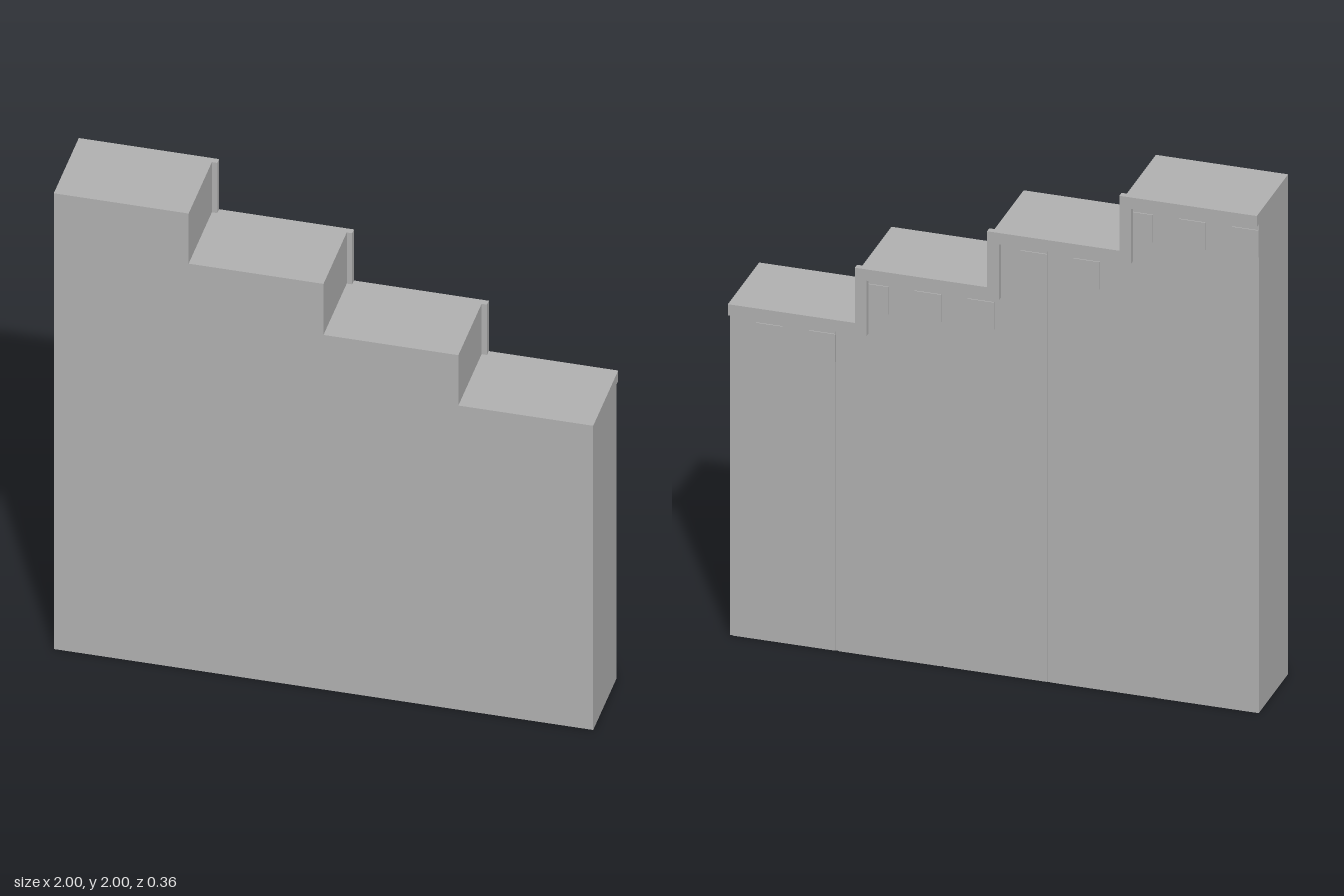
import * as THREE from 'three';

const TOPS = [2, 1.78, 1.556, 1.335]; // wall height of each half-unit bay, from x = -1

// Points along the stepped top between xa and xb, with the risers shifted by dx and the treads by dy
function steppedLine(xa, xb, dx = 0, dy = 0) {
  const points = [];
  TOPS.forEach((top, i) => {
    const start = i === 0 ? -1 : -1 + i * 0.5 + dx;
    const end = i === 3 ? 1 : -0.5 + i * 0.5 + dx;
    const a = Math.max(xa, start), b = Math.min(xb, end);
    if (b > a) points.push(new THREE.Vector2(a, top + dy), new THREE.Vector2(b, top + dy));
  });
  return points;
}

// Extrude a closed outline between two z planes
function slab(points, zBack, zFront) {
  const geometry = new THREE.ExtrudeGeometry(new THREE.Shape(points), {
    depth: zFront - zBack, bevelEnabled: false,
  });
  return geometry.translate(0, 0, zBack);
}

export function createModel() {
  const group = new THREE.Group();
  const grey = new THREE.MeshStandardMaterial({ color: 0xb2b2b2 });
  grey.name = 'wallGrey';

  const add = (name, geometry) => {
    const mesh = new THREE.Mesh(geometry, grey);
    mesh.name = name;
    group.add(mesh);
  };

  const BACK = -0.153, PANEL = -0.156, BLOCK = -0.16;
  const toGround = (xa, xb, line) =>
    [new THREE.Vector2(xa, 0), new THREE.Vector2(xb, 0), ...line.reverse()];

  // Stepped wall
  add('wall', slab(toGround(-1, 1, steppedLine(-1, 1)), BACK, 0.178));

  // Stepped coping band along the back
  const upper = steppedLine(-1, 1, 0.02, 0);
  const lower = steppedLine(-1, 1, -0.025, -0.045);
  add('copingBand', slab([...lower, ...upper.reverse()], -0.178, BACK));

  // Five thin back panels, each with a narrow groove beside it
  for (let i = 0; i < 5; i++) {
    const x = -1 + i * 0.4;
    const line = steppedLine(x, x + 0.39, -0.01, -0.02);
    add('backPanel', slab(toGround(x, x + 0.39, line), BACK, BACK + 0.001).translate(0, 0, PANEL - BACK));
    // panel body reaches the wall
    group.children.at(-1).geometry = slab(toGround(x, x + 0.39, steppedLine(x, x + 0.39, -0.01, -0.02)), PANEL, BACK);
  }

  // Row of square blocks under the coping
  for (let i = 0; i < 10; i++) {
    const x = -1 + i * 0.2 + 0.05;
    const top = TOPS[Math.floor((x + 1) / 0.5)];
    const block = new THREE.BoxGeometry(0.1, 0.11, BACK - BLOCK);
    add('squareBlock', block.translate(x, top - 0.122, (BACK + BLOCK) / 2));
  }
  return group;
}
